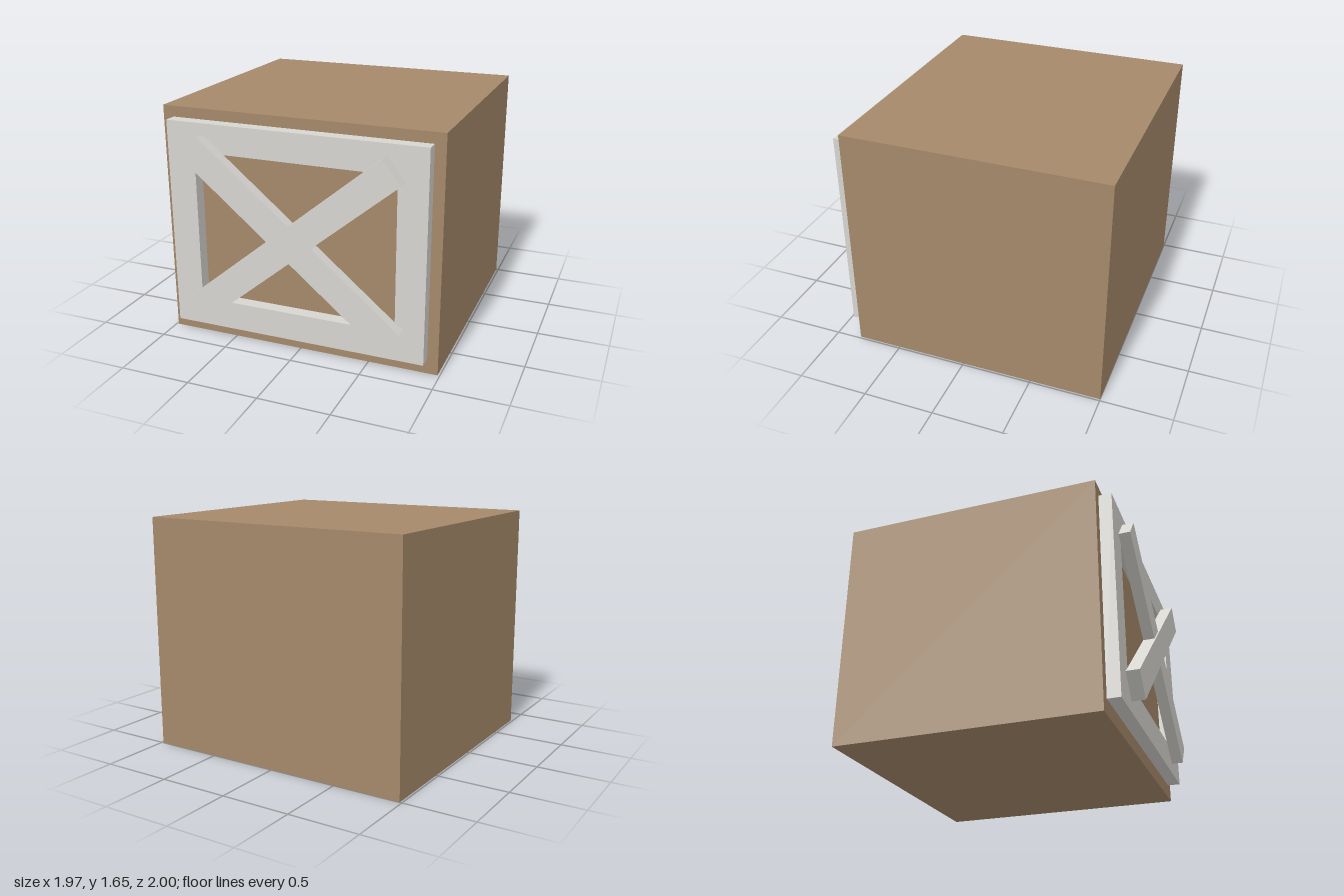
import * as THREE from 'three';

export function createModel() {
  const wood = new THREE.MeshStandardMaterial({ color: 0xa5896a });
  wood.name = 'brown wood';
  const trim = new THREE.MeshStandardMaterial({ color: 0xd6d5d0 });
  trim.name = 'pale trim';

  const model = new THREE.Group();
  model.name = 'crate';

  function add(name, geometry, material, x, y, z, angle = 0) {
    const mesh = new THREE.Mesh(geometry, material);
    mesh.name = name;
    mesh.position.set(x, y, z);
    mesh.rotation.z = angle;
    model.add(mesh);
  }

  // Solid body
  add('body', new THREE.BoxGeometry(1.97, 1.65, 1.82), wood, 0, 0.825, -0.09);

  // Rectangular frame with an open centre on the front
  const rect = (Type, w, h) => new Type([
    new THREE.Vector2(-w, -h), new THREE.Vector2(w, -h),
    new THREE.Vector2(w, h), new THREE.Vector2(-w, h),
  ]);
  const outline = rect(THREE.Shape, 0.91, 0.735);
  outline.holes.push(rect(THREE.Path, 0.71, 0.535));
  const frame = new THREE.ExtrudeGeometry(outline, { depth: 0.09, bevelEnabled: false });
  add('frontFrame', frame, trim, 0, 0.84, 0.82);

  // Crossed braces; the rising one stands slightly proud of the other
  const angle = Math.atan2(1.16, 1.4);
  for (const [name, sign, front] of [['risingBrace', 1, 1], ['fallingBrace', -1, 0.99]]) {
    const depth = front - 0.91;
    add(name, new THREE.BoxGeometry(1.82, 0.2, depth), trim, 0, 0.84, 0.91 + depth / 2, sign * angle);
  }

  return model;
}
